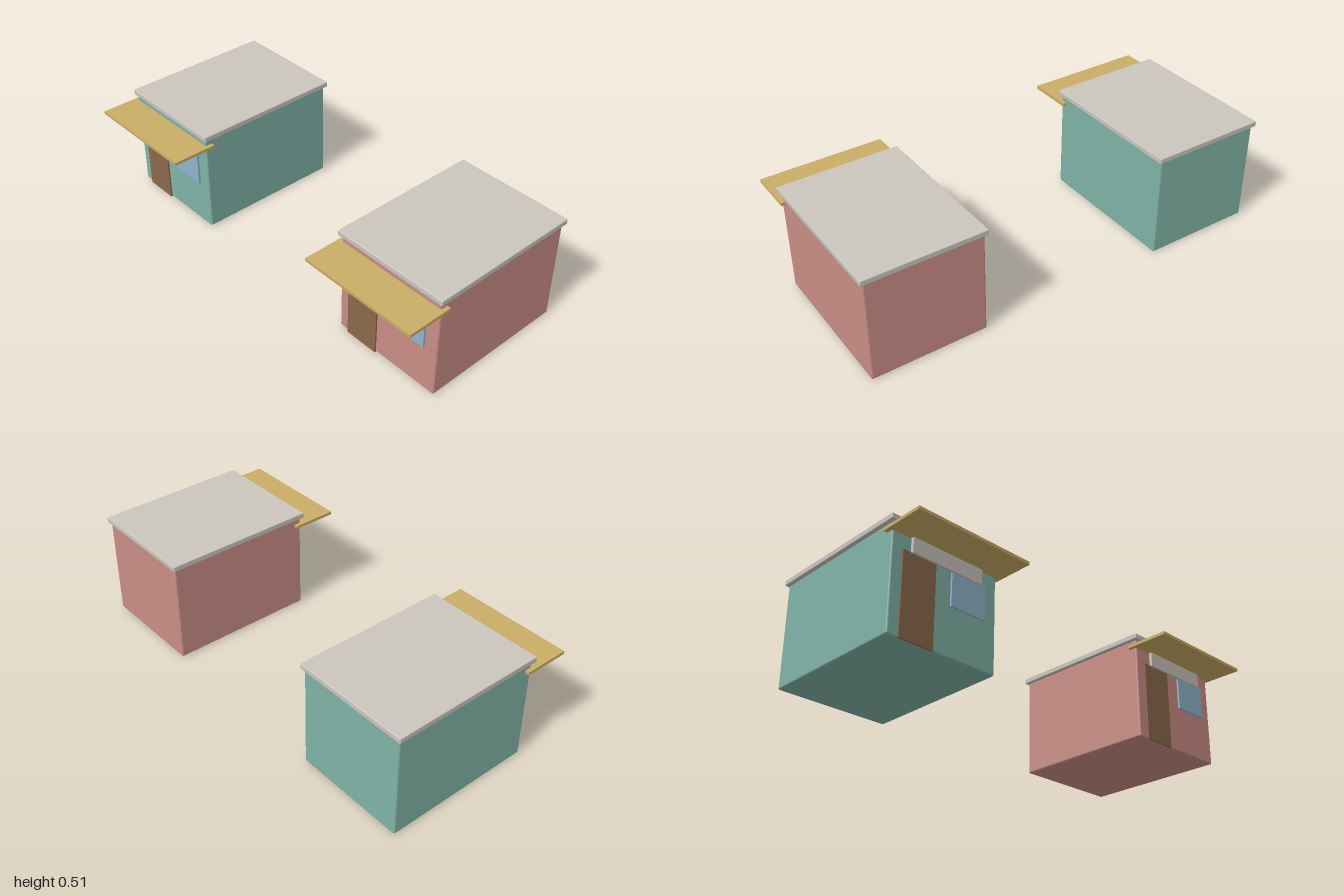
import * as THREE from 'three';
import { RoundedBoxGeometry } from 'three/addons/geometries/RoundedBoxGeometry.js';

function material(name, color) {
  const m = new THREE.MeshStandardMaterial({ color });
  m.name = name;
  return m;
}

// Box given by its [min, max] range on each axis; a radius rounds its edges
function block(name, mat, [x0, x1], [y0, y1], [z0, z1], radius = 0) {
  const size = [x1 - x0, y1 - y0, z1 - z0];
  const geometry = radius
    ? new RoundedBoxGeometry(...size, 2, radius)
    : new THREE.BoxGeometry(...size);
  const mesh = new THREE.Mesh(geometry, mat);
  mesh.name = name;
  mesh.position.set((x0 + x1) / 2, (y0 + y1) / 2, (z0 + z1) / 2);
  return mesh;
}

export function createModel() {
  const teal = material('teal wall', 0x80b3a6);
  const pink = material('pink wall', 0xca8d86);
  const stone = material('pale stone', 0xcac6be);
  const ochre = material('ochre awning', 0xcaae66);
  const wood = material('brown wood', 0x8a6a4b);
  const glass = material('blue glass', 0x90b4cc);

  // One small shop, centred on its own x axis
  function shop(name, wall, x) {
    const group = new THREE.Group();
    group.name = name;
    group.position.x = x;
    group.add(
      block('walls', wall, [-0.267, 0.267], [0.001, 0.482], [-0.438, 0.273], 0.008),
      block('roofSlab', stone, [-0.28, 0.28], [0.483, 0.509], [-0.449, 0.284], 0.004),
      block('awning', ochre, [-0.285, 0.285], [0.441, 0.455], [0.239, 0.452]),
      block('signBoard', stone, [-0.177, 0.177], [0.372, 0.442], [0.275, 0.29]),
      block('door', wood, [-0.216, -0.053], [0, 0.375], [0.271, 0.28]),
      block('window', glass, [0.027, 0.204], [0.221, 0.375], [0.273, 0.2825])
    );
    return group;
  }

  const model = new THREE.Group();
  model.name = 'shops';
  model.add(shop('tealShop', teal, -0.715), shop('pinkShop', pink, 0.715));
  return model;
}
